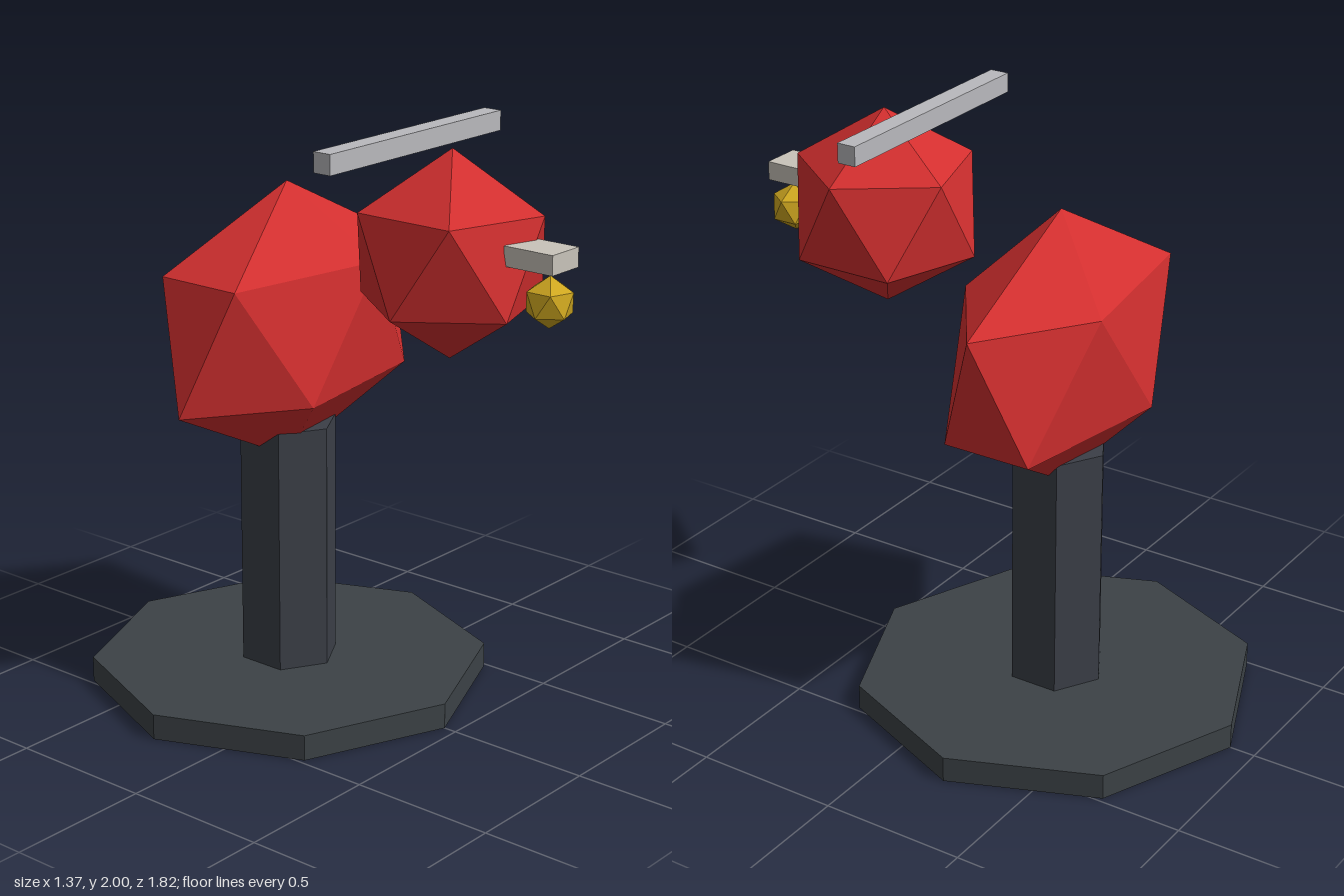
import * as THREE from 'three';

const material = (name, color) => {
  const m = new THREE.MeshStandardMaterial({ color, flatShading: true });
  m.name = name;
  return m;
};

// Twenty-sided ball with its poles on the y axis and an upper ring corner on +x
function poleIcosahedron() {
  const ringY = 1 / Math.sqrt(5), ringR = 2 / Math.sqrt(5);
  const top = [0, 1, 0], bottom = [0, -1, 0];
  const corner = (k, y) => {
    const a = k * Math.PI / 5;
    return [ringR * Math.cos(a), y, -ringR * Math.sin(a)];
  };
  const positions = [];
  for (let i = 0; i < 5; i++) {
    const u0 = corner(2 * i, ringY), u1 = corner(2 * i + 2, ringY);
    const l0 = corner(2 * i + 1, -ringY), l1 = corner(2 * i + 3, -ringY);
    positions.push(...top, ...u0, ...u1);
    positions.push(...u0, ...l0, ...u1);
    positions.push(...u1, ...l0, ...l1);
    positions.push(...bottom, ...l1, ...l0);
  }
  const g = new THREE.BufferGeometry();
  g.setAttribute('position', new THREE.Float32BufferAttribute(positions, 3));
  g.computeVertexNormals();
  return g;
}

export function createModel() {
  const model = new THREE.Group();
  const red = material('red', 0xd32f2f);
  const slate = material('slate', 0x3c4246);
  const darkSteel = material('dark steel', 0x3b3f47);
  const gold = material('gold', 0xd0a820);
  const silver = material('silver', 0xb9b9bd);
  const bone = material('bone', 0xc9c4ba);

  const add = (name, geometry, mat, x, y, z) => {
    const mesh = new THREE.Mesh(geometry, mat);
    mesh.name = name;
    mesh.position.set(x, y, z);
    model.add(mesh);
    return mesh;
  };

  // Stand
  const standZ = -0.228;
  add('base', new THREE.CylinderGeometry(0.683, 0.683, 0.088, 8), slate, 0, 0.044, standZ);
  add('post', new THREE.CylinderGeometry(0.17, 0.17, 0.852, 6), darkSteel, 0, 0.514, standZ);

  // Faceted body, head and hanging ball
  const ball = poleIcosahedron();
  add('body', ball, red, 0, 1.285, standZ).scale.set(0.595, 0.478, 0.298);
  add('head', ball, red, 0, 1.628, 0.453).scale.setScalar(0.339);
  add('hangingBall', ball, gold, 0, 1.543, 0.833).scale.setScalar(0.084);

  // Beak and crossbar
  add('beak', new THREE.BoxGeometry(0.136, 0.064, 0.18), bone, 0, 1.68, 0.797);
  add('crossbar', new THREE.BoxGeometry(0.855, 0.066, 0.066), silver, 0, 1.967, 0.287);

  return model;
}
